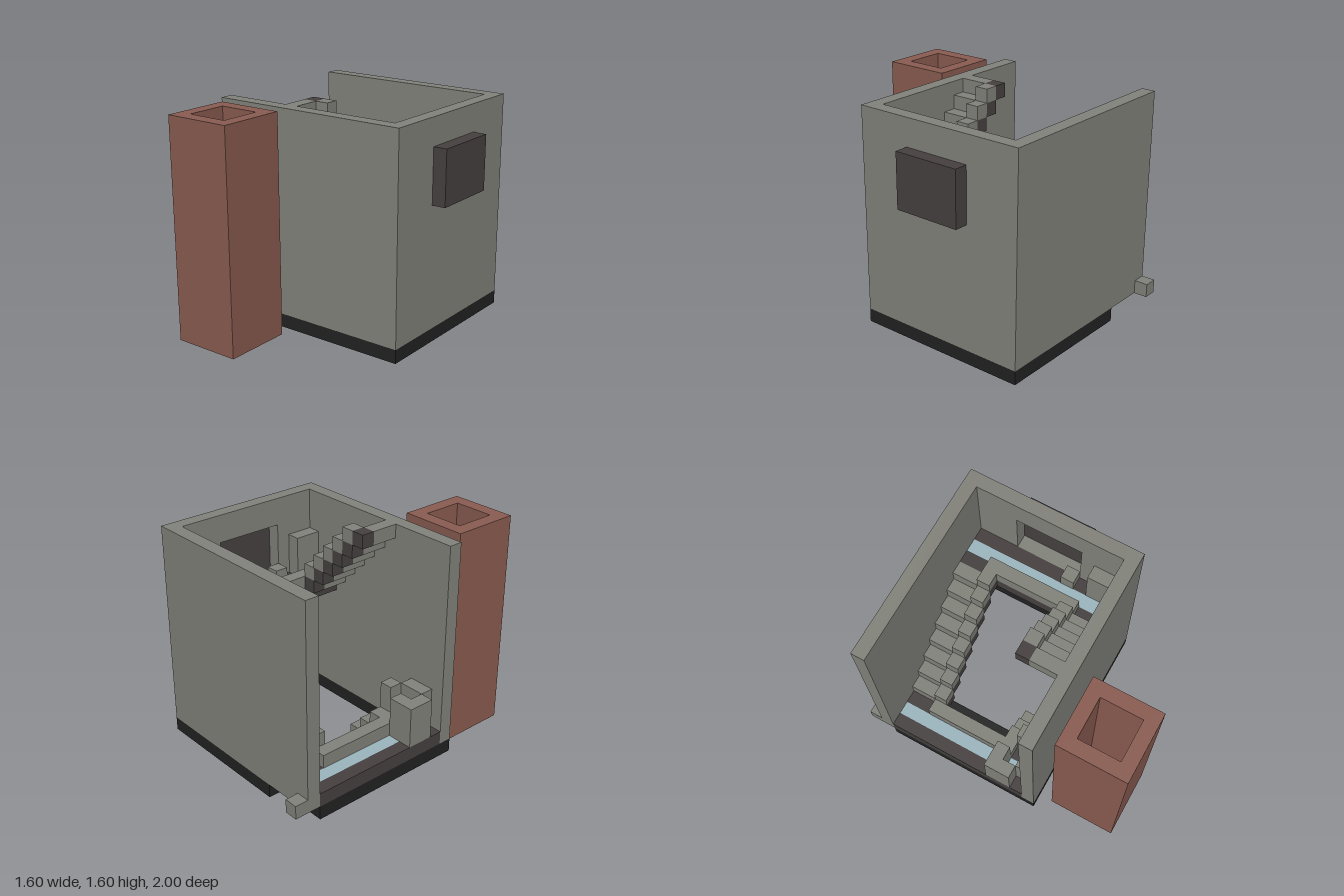
import * as THREE from 'three';

export function createModel() {
  const model = new THREE.Group();
  model.name = 'spiralStairBuilding';

  const mat = (name, color) => {
    const m = new THREE.MeshStandardMaterial({ color });
    m.name = name;
    return m;
  };
  const concrete = mat('concrete grey', 0x82837b);
  const brick = mat('brick red', 0x8a5c51);
  const dark = mat('dark trim', 0x464140);
  const black = mat('black base', 0x222222);
  const blue = mat('pale blue', 0x9cb6bf);

  // Box given by its two extreme corners
  const box = (name, material, x0, x1, y0, y1, z0, z1, parent = model) => {
    const mesh = new THREE.Mesh(new THREE.BoxGeometry(x1 - x0, y1 - y0, z1 - z0), material);
    mesh.position.set((x0 + x1) / 2, (y0 + y1) / 2, (z0 + z1) / 2);
    mesh.name = name;
    parent.add(mesh);
    return mesh;
  };

  // Rectangular slab with a rectangular hole, extruded along its local z
  const frame = (u0, u1, v0, v1, hu0, hu1, hv0, hv1, depth) => {
    const rect = (s, a, b, c, d) => s.moveTo(a, c).lineTo(b, c).lineTo(b, d).lineTo(a, d).closePath();
    const shape = rect(new THREE.Shape(), u0, u1, v0, v1);
    shape.holes.push(rect(new THREE.Path(), hu0, hu1, hv0, hv1));
    return new THREE.ExtrudeGeometry(shape, { depth, bevelEnabled: false });
  };

  // Hollow chimney, open at both ends
  const chimney = new THREE.Mesh(
    frame(-0.7, -0.2, -1.0, -0.5, -0.6, -0.3, -0.9, -0.6, 1.6).rotateX(-Math.PI / 2), brick);
  chimney.name = 'chimney';
  model.add(chimney);

  // Base strips
  const base = new THREE.Group();
  base.name = 'base';
  model.add(base);
  [
    [-0.4, 0.7, -0.9, -0.8], [0.6, 0.7, -0.8, 0.3], [-0.8, 0.7, 0.3, 0.4],
    [-0.8, -0.7, -0.8, 0.3], [-0.7, -0.4, -0.8, -0.7], [-0.5, -0.4, -0.7, 0.3],
  ].forEach(([x0, x1, z0, z1]) => box('baseStrip', black, x0, x1, 0, 0.1, z0, z1, base));

  // Walls: the right end is open, the left wall has a window
  box('backWall', concrete, -0.8, 0.7, 0.1, 1.6, -0.9, -0.8);
  box('frontWall', concrete, -0.8, 0.7, 0.1, 1.6, 0.3, 0.4);
  const leftWall = new THREE.Mesh(
    frame(-0.3, 0.8, 0.1, 1.6, 0, 0.5, 1.0, 1.4, 0.1).rotateY(Math.PI / 2), concrete);
  leftWall.position.x = 0.6;
  leftWall.name = 'leftWall';
  model.add(leftWall);
  box('windowPanel', dark, 0.7, 0.8, 1.0, 1.4, -0.5, 0);
  box('cornerBlock', concrete, -0.8, -0.7, 0.1, 0.2, -1.0, -0.9);

  // Landings: blue strip between dark borders, with an inner curb
  const landing = (name, xs, top, curbX) => {
    const g = new THREE.Group();
    g.name = name;
    model.add(g);
    [dark, blue, dark].forEach((m, i) =>
      box(m === blue ? 'blueStrip' : 'border', m,
        xs + i * 0.1, xs + (i + 1) * 0.1, top - 0.1, top, -0.8, 0.3, g));
    box('curb', concrete, curbX, curbX + 0.1, top, top + 0.1, -0.6, 0.1, g);
  };
  landing('lowerLanding', -0.8, 0.2, -0.6);
  landing('upperLanding', 0.3, 1.0, 0.3);

  // One step with its curb, cut off at the roof level and at the ground
  const step = (parent, x, h, z0, z1, c0, c1) => {
    if (h > 0.05) {
      box('tread', concrete, x, x + 0.1, h - 0.1, h, z0, z1, parent);
      box('curbFooting', dark, x, x + 0.1, h - 0.1, h, c0, c1, parent);
    }
    if (h < 1.55) box('curb', concrete, x, x + 0.1, h, h + 0.1, c0, c1, parent);
  };
  const backFlight = new THREE.Group();
  backFlight.name = 'backFlight';
  const frontFlight = new THREE.Group();
  frontFlight.name = 'frontFlight';
  const entryFlight = new THREE.Group();
  entryFlight.name = 'entryFlight';
  model.add(backFlight, frontFlight, entryFlight);
  for (let i = 0; i < 8; i++) step(backFlight, -0.5 + i * 0.1, 0.3 + i * 0.1, -0.8, -0.6, -0.6, -0.5);
  for (let i = 0; i < 6; i++) step(frontFlight, 0.2 - i * 0.1, 1.1 + i * 0.1, 0.1, 0.3, 0, 0.1);
  for (let i = 0; i < 3; i++) step(entryFlight, -0.3 - i * 0.1, i * 0.1, 0.1, 0.3, 0, 0.1);

  // Pillars standing on the landings
  [
    [-0.8, -0.6, 0.2, 0.5, 0, 0.1], [-0.8, -0.7, 0.2, 0.5, 0.1, 0.2],
    [-0.7, -0.5, 0.2, 0.5, 0.2, 0.3], [-0.5, -0.4, 0.2, 0.5, 0.1, 0.2],
    [0.5, 0.6, 1.0, 1.3, 0.1, 0.3], [0.5, 0.6, 1.0, 1.1, -0.1, 0],
  ].forEach((p) => box('pillar', concrete, ...p));

  return model;
}
